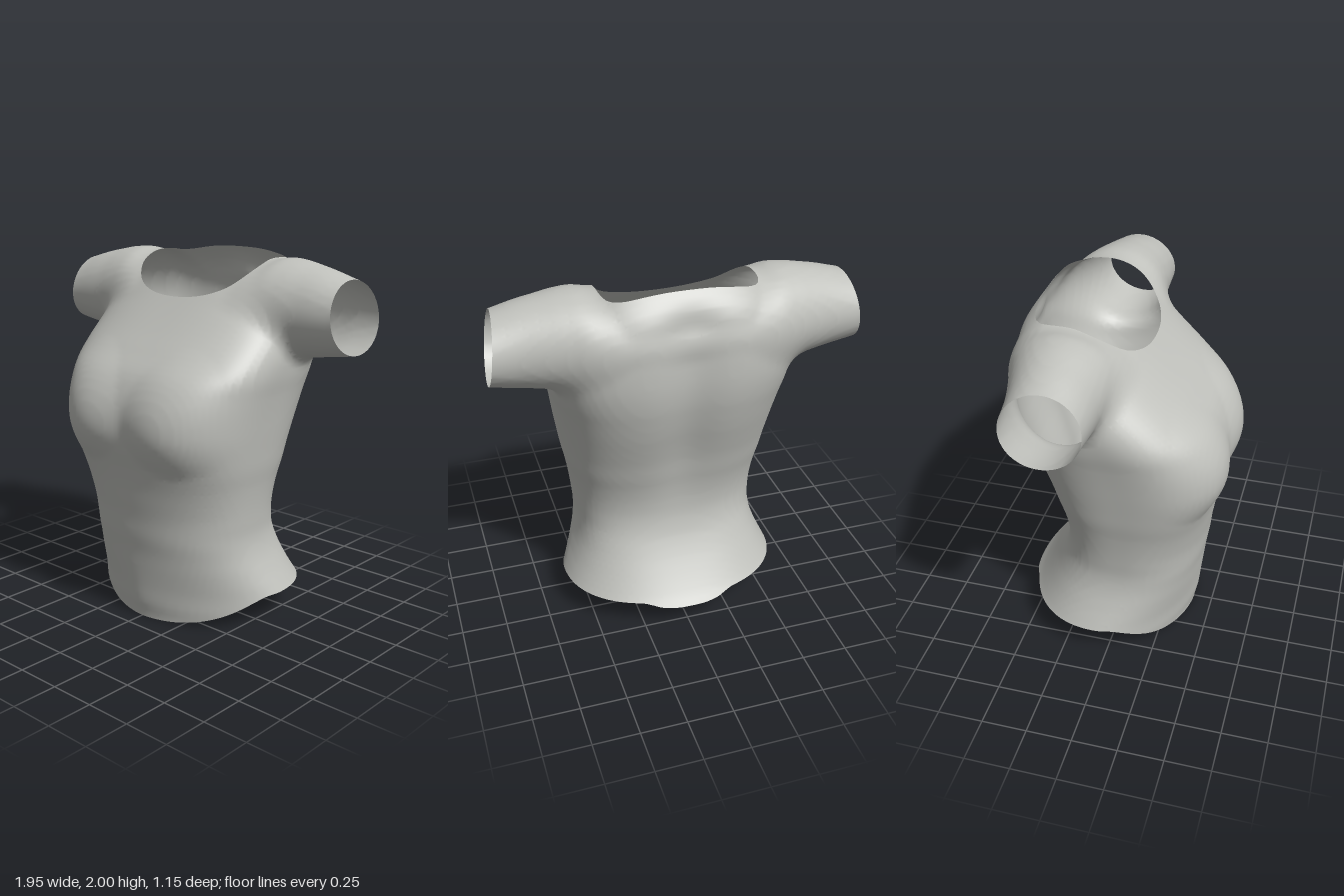
import * as THREE from 'three';
import { mergeVertices } from 'three/addons/utils/BufferGeometryUtils.js';

const { smoothstep, clamp } = THREE.MathUtils;

// Smooth curve through evenly spaced values (Catmull-Rom)
function profile(start, step, v) {
  const at = (i) => v[clamp(i, 0, v.length - 1)];
  return (s) => {
    const u = clamp((s - start) / step, 0, v.length - 1);
    const i = Math.floor(u), t = u - i;
    const a = at(i - 1), b = at(i), c = at(i + 1), d = at(i + 2);
    return b + 0.5 * t * (c - a + t * (2 * a - 5 * b + 4 * c - d + t * (3 * (b - c) + d - a)));
  };
}

// Torso outline by height: half width, front and back
const halfWidth = profile(0, 0.1, [0.67, 0.65, 0.605, 0.56, 0.525, 0.51, 0.515, 0.525, 0.54, 0.56, 0.575,
  0.59, 0.605, 0.622, 0.642, 0.65, 0.64, 0.61, 0.56, 0.475, 0.375, 0.27]);
const frontZ = profile(0, 0.1, [0.39, 0.41, 0.42, 0.43, 0.44, 0.455, 0.465, 0.48, 0.495, 0.515, 0.538,
  0.55, 0.545, 0.518, 0.465, 0.375, 0.28, 0.19, 0.105, 0.025, -0.09, -0.2]);
const backZ = profile(0, 0.1, [-0.64, -0.6, -0.52, -0.45, -0.39, -0.345, -0.325, -0.33, -0.35, -0.38, -0.41,
  -0.445, -0.48, -0.51, -0.535, -0.55, -0.555, -0.553, -0.542, -0.51, -0.43, -0.32]);

// Shoulder and sleeve outline by distance from the middle
const sleeveTop = profile(0.3, 0.1, [1.87, 1.94, 1.982, 1.98, 1.962, 1.94, 1.912, 1.885, 1.86]);
const sleeveBottom = profile(0.3, 0.1, [1.6, 1.53, 1.49, 1.475, 1.484, 1.498, 1.513, 1.53, 1.54]);
const sleeveFront = profile(0.3, 0.1, [0.06, 0.07, 0.06, 0.045, 0.03, 0.022, 0.015, 0.01, 0]);
const sleeveBack = profile(0.3, 0.1, [-0.5, -0.505, -0.495, -0.465, -0.435, -0.41, -0.395, -0.385, -0.375]);

function torso(x, y, z) {
  // Rounded chest on each side, fuller above than below
  const dy = (y - 1.13) / (y > 1.13 ? 0.42 : 0.25);
  const dome = Math.max(0, 1 - ((x - 0.31) / 0.3) ** 2 - dy * dy);
  const front = frontZ(y) + 0.045 * dome ** 1.3;
  // Shallow groove down the spine
  const groove = 0.042 * Math.exp(-((x / 0.15) ** 2)) * smoothstep(y, 0.5, 1.2) * (1 - smoothstep(y, 1.8, 2));
  const back = backZ(y) + groove;
  const mid = (frontZ(y) + backZ(y)) / 2;
  const w = halfWidth(y), d = z > mid ? front - mid : mid - back;
  // Squareness of the section: round at the hem, boxier at the chest
  const low = smoothstep(y, 0.1, 0.5);
  const n = z > mid
    ? 1.7 + 0.6 * low + 0.8 * smoothstep(y, 0.6, 1.1) - 0.4 * smoothstep(y, 1.35, 1.65)
    : 2.2 + 0.5 * low + 0.1 * smoothstep(y, 0.6, 1.1);
  const r = ((x / w) ** n + (Math.abs(z - mid) / d) ** n) ** (1 / n);
  return (r - 1) * Math.min(w, d);
}

function sleeve(x, y, z) {
  const t = sleeveTop(x), b = sleeveBottom(x), f = sleeveFront(x), k = sleeveBack(x);
  const r = Math.hypot((y - (t + b) / 2) / ((t - b) / 2), (z - (f + k) / 2) / ((f - k) / 2));
  return (r - 1) * 0.21;
}

// Torso and sleeves joined with a soft seam; negative inside
function shirt(px, y, z) {
  const x = Math.abs(px), a = torso(x, y, z), b = sleeve(x, y, z), k = 0.06;
  const h = Math.max(0, k - Math.abs(a - b)) / k;
  return Math.min(a, b) - h * h * k / 4;
}

function gradient(p) {
  const e = 0.006;
  return new THREE.Vector3(
    shirt(p.x + e, p.y, p.z) - shirt(p.x - e, p.y, p.z),
    shirt(p.x, p.y + e, p.z) - shirt(p.x, p.y - e, p.z),
    shirt(p.x, p.y, p.z + e) - shirt(p.x, p.y, p.z - e)).divideScalar(2 * e);
}

// Openings: positive where cloth remains
const hem = (p) => p.y - 0.175 * (1 - smoothstep(p.z, 0, 0.4)) + 0.035 * smoothstep(-p.z, 0.5, 0.58);
const cuff = (p) => 0.95 - 0.12 * (p.y - 1.71) - 0.06 * (p.z + 0.19) - Math.abs(p.x);
const neck = (p) => {
  if (p.y < 1.6) return 1;
  const dz = p.z + 0.15, n = dz > 0 ? 2.3 : 5;
  return (Math.abs(p.x / 0.41) ** n + Math.abs(dz / 0.28) ** n) ** (1 / n) - 1;
};

function trim(poly, keep) {
  const out = [];
  poly.forEach((a, i) => {
    const b = poly[(i + 1) % poly.length], ka = keep(a), kb = keep(b);
    if (ka >= 0) out.push(a);
    if (ka >= 0 !== kb >= 0) {
      // Cut from the same end each time so neighbours share the point
      out.push(ka >= 0 ? a.clone().lerp(b, ka / (ka - kb)) : b.clone().lerp(a, kb / (kb - ka)));
    }
  });
  return out;
}

// Wrap the solid in a regular net of quads
function clothGeometry() {
  const h = 0.027, nx = 80, ny = 82, nz = 54;
  const x0 = -nx * h / 2, y0 = -0.1, z0 = -nz * h / 2;
  const id = (i, j, k) => (i * (ny + 1) + j) * (nz + 1) + k;
  const value = new Float32Array((nx + 1) * (ny + 1) * (nz + 1));
  for (let i = 0; i <= nx; i++) for (let j = 0; j <= ny; j++) for (let k = 0; k <= nz; k++)
    value[id(i, j, k)] = shirt(x0 + i * h, y0 + j * h, z0 + k * h);

  // One point for each cell the surface crosses, moved onto the surface
  const cells = new Map();
  const axes = [[1, 0, 0], [0, 1, 0], [0, 0, 1]];
  const cellPoint = (i, j, k) => {
    const key = id(i, j, k);
    if (cells.has(key)) return cells.get(key);
    const p = new THREE.Vector3();
    let count = 0;
    axes.forEach((d, a) => {
      const u = axes[(a + 1) % 3], v = axes[(a + 2) % 3];
      for (const s of [0, 1]) for (const t of [0, 1]) {
        const c = [0, 1, 2].map((m) => s * u[m] + t * v[m]);
        const f = value[id(i + c[0], j + c[1], k + c[2])];
        const g = value[id(i + c[0] + d[0], j + c[1] + d[1], k + c[2] + d[2])];
        if (f < 0 === g < 0) continue;
        const q = f / (f - g);
        p.add(new THREE.Vector3(i + c[0] + d[0] * q, j + c[1] + d[1] * q, k + c[2] + d[2] * q));
        count++;
      }
    });
    p.divideScalar(count).multiplyScalar(h).add(new THREE.Vector3(x0, y0, z0));
    for (let s = 0; s < 3; s++) {
      const g = gradient(p);
      p.addScaledVector(g, -clamp(shirt(p.x, p.y, p.z) / Math.max(g.lengthSq(), 0.1), -h / 2, h / 2));
    }
    cells.set(key, p);
    return p;
  };

  const positions = [];
  const addFace = (quad, outward) => {
    let poly = outward ? quad : quad.reverse();
    for (const keep of [hem, cuff, neck]) poly = trim(poly, keep);
    for (let m = 2; m < poly.length; m++)
      for (const p of [poly[0], poly[m - 1], poly[m]]) positions.push(p.x, p.y, p.z);
  };
  for (let i = 1; i < nx; i++) for (let j = 1; j < ny; j++) for (let k = 1; k < nz; k++) {
    const f = value[id(i, j, k)];
    axes.forEach((d, a) => {
      const g = value[id(i + d[0], j + d[1], k + d[2])];
      if (f < 0 === g < 0) return;
      const u = axes[(a + 1) % 3], v = axes[(a + 2) % 3];
      const corner = (s, t) => cellPoint(i - s * u[0] - t * v[0], j - s * u[1] - t * v[1], k - s * u[2] - t * v[2]);
      addFace([corner(1, 1), corner(0, 1), corner(0, 0), corner(1, 0)], f < 0);
    });
  }

  const geometry = new THREE.BufferGeometry();
  geometry.setAttribute('position', new THREE.Float32BufferAttribute(positions, 3));
  const merged = mergeVertices(geometry, 1e-5);
  merged.computeVertexNormals();
  return merged;
}

export function createModel() {
  const group = new THREE.Group();
  group.name = 'shirt';
  const cloth = new THREE.MeshStandardMaterial({ color: 0xc0c1bc, side: THREE.DoubleSide });
  cloth.name = 'grey cloth';
  const body = new THREE.Mesh(clothGeometry(), cloth);
  body.name = 'shirtBodyAndSleeves';
  group.add(body);
  return group;
}
